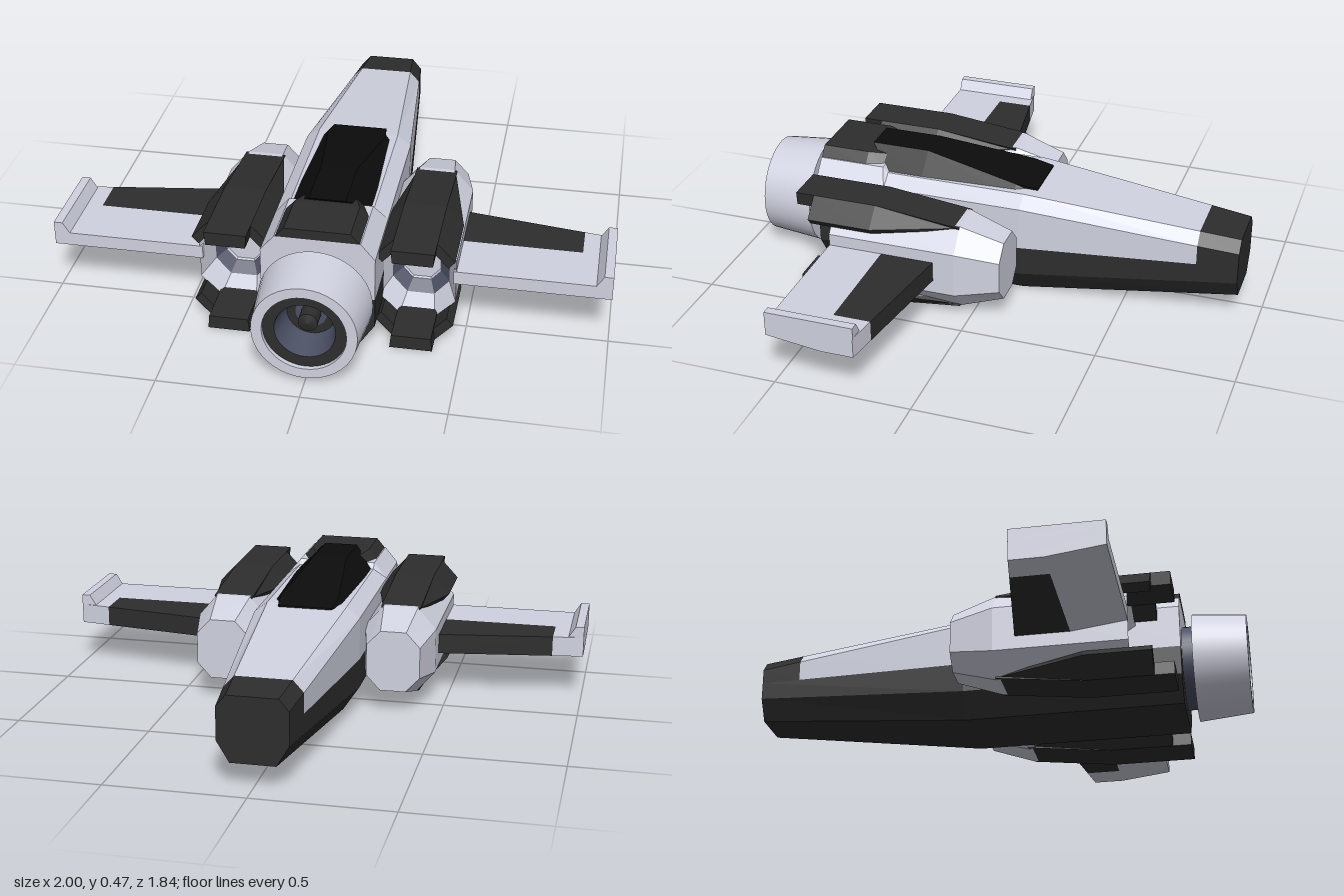
import * as THREE from 'three';

const paint = (color) => new THREE.MeshStandardMaterial({ color, flatShading: true, side: THREE.DoubleSide });
const light = paint(0xd0d2e0), dark = paint(0x2d2d2d), black = paint(0x0c0c0c), steel = paint(0x4b5064);

// Skin between rings of [x, y, z] points, with optional flat end caps
function loft(name, material, rings, capStart = true, capEnd = true) {
  const pos = [], n = rings[0].length;
  const tri = (a, b, c) => pos.push(...a, ...b, ...c);
  for (let r = 0; r + 1 < rings.length; r++) {
    const a = rings[r], b = rings[r + 1];
    for (let i = 0; i < n; i++) {
      const j = (i + 1) % n;
      tri(a[i], a[j], b[j]);
      tri(a[i], b[j], b[i]);
    }
  }
  const first = rings[0], last = rings[rings.length - 1];
  for (let i = 1; i + 1 < n; i++) {
    if (capStart) tri(first[0], first[i + 1], first[i]);
    if (capEnd) tri(last[0], last[i], last[i + 1]);
  }
  const geo = new THREE.BufferGeometry();
  geo.setAttribute('position', new THREE.Float32BufferAttribute(pos, 3));
  geo.computeVertexNormals();
  const mesh = new THREE.Mesh(geo, material);
  mesh.name = name;
  return mesh;
}

const at = (z, pts) => pts.map(([x, y]) => [x, y, z]);
// Right-hand half of a section, bottom to top, mirrored to the left
const sym = (pts) => [...pts, ...pts.slice().reverse().map(([x, y]) => [-x, y])];

// Fuselage sections taper towards the nose at -z
function hull(z, upper) {
  const t = Math.max(0, (-0.12 - z) / 0.8);
  const mix = (a, b) => a + (b - a) * t;
  const rise = z > 0.42 ? 0.02 : 0;
  const w = mix(0.2, 0.125), mid = mix(0.2, 0.225);
  return at(z, sym(upper
    ? [[w, mid], [w, mix(0.36, 0.28)], [mix(0.15, 0.09), mix(0.4, 0.322) + rise]]
    : [[mix(0.14, 0.08), mix(0, 0.085)], [w, mix(0.09, 0.16)], [w, mid]]));
}

function fuselage() {
  const g = new THREE.Group();
  g.name = 'fuselage';
  g.add(loft('upperHull', light, [-0.77, -0.12, 0.41, 0.43, 0.68].map((z) => hull(z, true))));
  g.add(loft('noseCap', dark, [-0.92, -0.77].map((z) => hull(z, true))));
  g.add(loft('lowerHull', dark, [-0.92, -0.12, 0.68].map((z) => hull(z, false))));
  g.add(loft('canopy', black, [
    at(-0.16, sym([[0.1, 0.38], [0.1, 0.402]])),
    at(-0.08, sym([[0.145, 0.38], [0.11, 0.414]])),
    at(0.28, sym([[0.145, 0.395], [0.065, 0.472]])),
    sym([[0.145, 0.395], [0.065, 0.472]]).map(([x, y]) => [x, y, y > 0.45 ? 0.5 : 0.41]),
  ]));
  g.add(loft('rearDeck', dark, [
    at(0.42, sym([[0.13, 0.4], [0.085, 0.445]])),
    at(0.5, sym([[0.15, 0.415], [0.115, 0.456]])),
    at(0.68, sym([[0.15, 0.415], [0.115, 0.456]])),
  ]));
  return g;
}

// Main engine: turned parts about the z axis, profiles are [radius, z]
function engine() {
  const g = new THREE.Group();
  g.name = 'mainEngine';
  g.position.y = 0.2;
  const turned = (name, material, profile) => {
    // one band per profile segment keeps the edges crisp
    const part = new THREE.Group();
    part.name = name;
    const smooth = material.clone();
    smooth.flatShading = false;
    for (let i = 0; i + 1 < profile.length; i++) {
      const pts = [profile[i], profile[i + 1]].map(([r, z]) => new THREE.Vector2(r, z));
      part.add(new THREE.Mesh(new THREE.LatheGeometry(pts, 40).rotateX(Math.PI / 2), smooth));
      part.children[i].name = name + 'Band';
    }
    g.add(part);
  };
  turned('engineNeck', steel, [[0.155, 0.67], [0.155, 0.73]]);
  turned('engineBell', light, [[0.15, 0.72], [0.2, 0.72], [0.182, 0.917], [0.145, 0.917], [0.145, 0.9]]);
  turned('innerRing', dark, [[0.145, 0.9], [0.105, 0.9]]);
  turned('nozzleWall', steel, [[0.105, 0.9], [0.085, 0.79]]);
  turned('nozzleFloor', dark, [[0.085, 0.79], [0.055, 0.79]]);
  turned('nozzleInset', steel, [[0.055, 0.79], [0, 0.79]]);
  turned('nozzleHub', dark, [[0.034, 0.78], [0.034, 0.85], [0, 0.86]]);
  return g;
}

// Octagonal side pod, built about its own axis
const octagon = (z, w, h) => at(z, sym([[w * 0.48, -h], [w, -h * 0.51], [w, h * 0.51], [w * 0.48, h]]));

function pod(side) {
  const g = new THREE.Group();
  g.name = side > 0 ? 'leftPod' : 'rightPod';
  g.position.set(side * 0.325, 0.2, 0);
  const inner = (s, z) => octagon(z, 0.135 * s, 0.165 * s);
  g.add(loft('podShell', light, [octagon(-0.12, 0.1, 0.115), inner(1, 0.04), inner(1, 0.52)], true, false));
  g.add(loft('podRim', light, [inner(1, 0.52), inner(0.75, 0.43)], false, false));
  g.add(loft('podThroat', steel, [inner(0.75, 0.43), inner(0.5, 0.4)], false, false));
  g.add(loft('podCore', light, [inner(0.5, 0.4), inner(0.48, 0.39)], false, true));

  // Armour covers over the top and, turned over, underneath
  for (const turn of [0, Math.PI]) {
    const cover = new THREE.Group();
    cover.name = turn ? 'lowerCover' : 'upperCover';
    cover.rotation.z = turn;
    const slab = (top) => sym([[0.07, 0.15], [0.075, top]]);
    cover.add(loft('coverCentre', dark, [at(0.04, slab(0.163)), at(0.36, slab(0.2)), at(0.67, slab(0.2))]));
    const flap = [[0.06, 0.165], [0.115, 0.105], [0.138, 0.132], [0.075, 0.2]];
    const start = [[0.055, 0.14], [0.06, 0.14], [0.068, 0.16], [0.066, 0.163]];
    for (const s of [1, -1]) {
      const wing = loft('coverFlap', dark, [at(0.04, start), at(0.36, flap), at(0.6, flap)]);
      wing.scale.x = s;
      cover.add(wing);
    }
    g.add(cover);
  }
  return g;
}

// Wing, built on +x and mirrored; profiles are [y, z]
function wing(side) {
  const g = new THREE.Group();
  g.name = side > 0 ? 'leftWing' : 'rightWing';
  g.scale.x = side;
  const lead = (x) => 0.12 + (x - 0.46) * 0.148;
  const span = (name, material, x0, x1, profile) =>
    g.add(loft(name, material, [x0, x1].map((x) => profile(lead(x)).map(([y, z]) => [x, y, z]))));
  span('leadingPanel', dark, 0.44, 0.885, (l) => [[0.165, l], [0.24, l], [0.24, 0.318], [0.165, 0.318]]);
  span('trailingPanel', light, 0.45, 0.885, () => [[0.165, 0.318], [0.24, 0.318], [0.24, 0.52], [0.19, 0.52]]);
  span('wingTip', light, 0.885, 1, (l) => [[0.165, l], [0.24, l], [0.24, 0.52], [0.19, 0.52], [0.165, 0.318]]);
  const fin = [[0.94, 0.235], [1, 0.235], [1, 0.28], [0.968, 0.28]];
  g.add(loft('tipFin', light, [at(0.198, fin), at(0.52, fin)]));
  return g;
}

export function createModel() {
  const model = new THREE.Group();
  model.name = 'spaceFighter';
  model.add(fuselage(), engine());
  for (const side of [1, -1]) model.add(pod(side), wing(side));
  return model;
}
